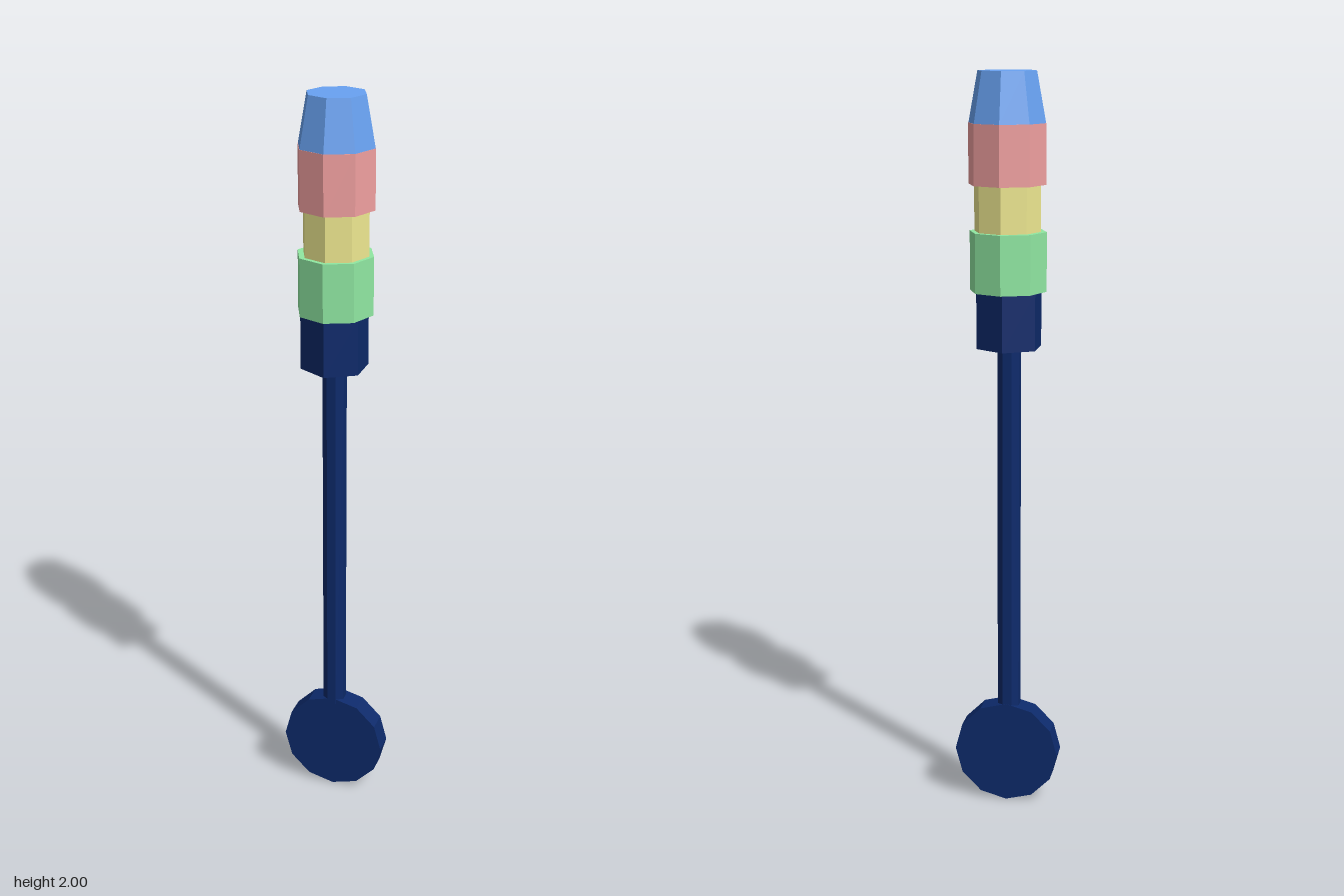
import * as THREE from 'three';

const material = (color) => new THREE.MeshStandardMaterial({ color, flatShading: true });
const navy = material(0x0d2a6b);

// Upright faceted section between two heights
function section(name, sides, rTop, rBottom, y0, y1, mat, x = 0, z = 0) {
  const mesh = new THREE.Mesh(new THREE.CylinderGeometry(rTop, rBottom, y1 - y0, sides), mat);
  mesh.name = name;
  mesh.position.set(x, (y0 + y1) / 2, z);
  return mesh;
}

export function createModel() {
  const group = new THREE.Group();
  group.name = 'wand';

  // Round flat disc at the foot, facing front
  const disc = new THREE.Mesh(new THREE.CylinderGeometry(0.144, 0.144, 0.06, 12), navy);
  disc.name = 'disc';
  disc.rotation.x = Math.PI / 2;
  disc.position.set(0, 0.144, -0.004);
  group.add(disc);

  // Thin rod from disc to handle
  const rod = section('rod', 8, 0.032, 0.032, 0.27, 1.3, navy, -0.003, -0.003);
  rod.rotation.y = Math.PI / 8;
  group.add(rod);

  // Hexagonal collar and stacked coloured handle bands
  group.add(
    section('collar', 6, 0.09, 0.09, 1.29, 1.44, navy, -0.002, 0),
    section('lowerBand', 8, 0.102, 0.102, 1.44, 1.595, material(0x90e8a2), 0, -0.002),
    section('gripBand', 8, 0.088, 0.088, 1.595, 1.715, material(0xeee890), 0.002, 0),
    section('upperBand', 8, 0.102, 0.102, 1.715, 1.87, material(0xf0a0a0), 0.003, 0),
    section('taperedCap', 8, 0.077, 0.101, 1.87, 2, material(0x68a2f2), 0.003, 0)
  );
  return group;
}
